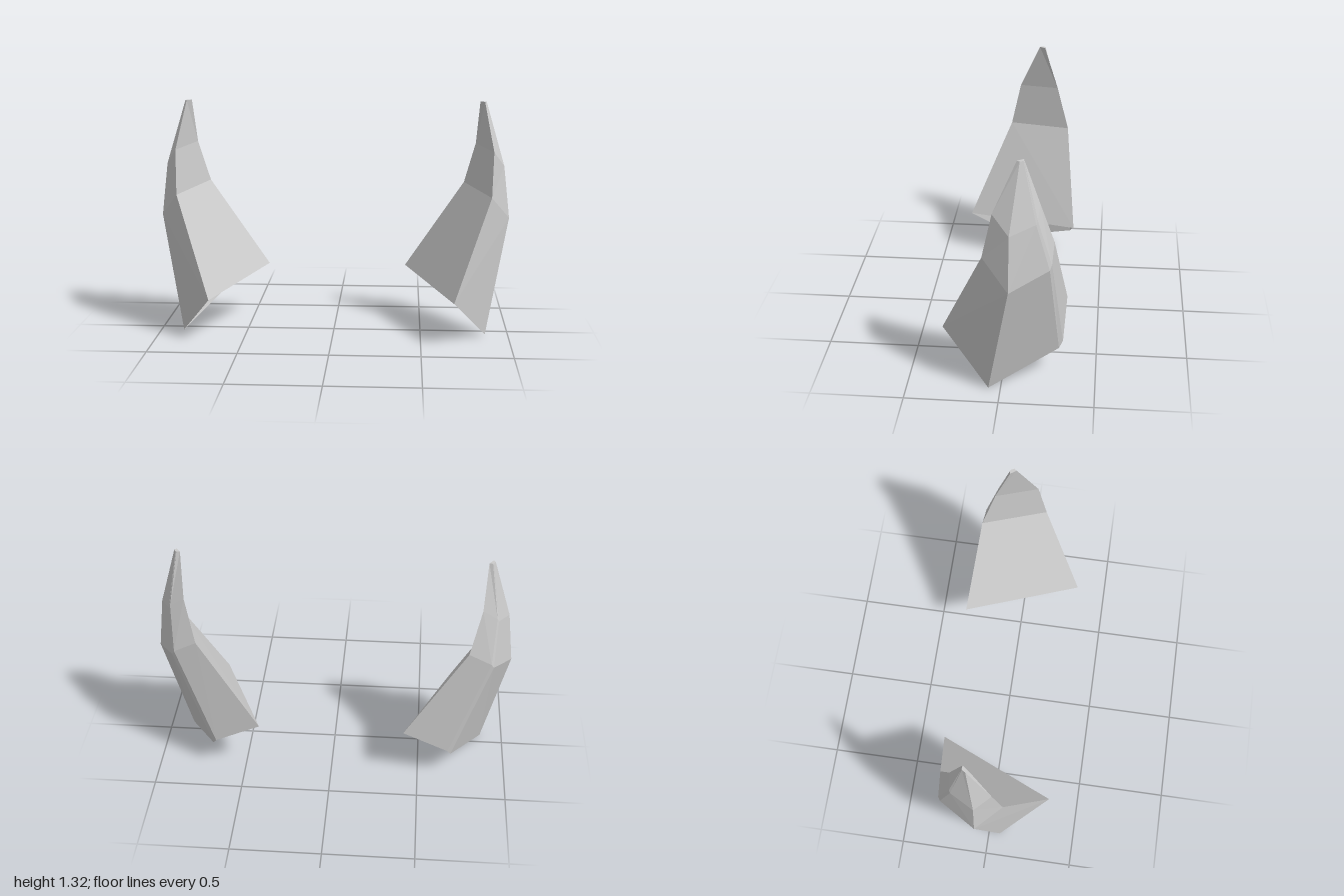
import * as THREE from 'three';

// Cross-sections of one horn, open base to tip; corners run
// inner, front, outer, back, back bevel
const RINGS = [
  [[0.41, 0.31, -0.33], [0.68, 0.25, 0.33], [0.87, 0, 0.065], [0.685, 0.15, -0.30], [0.665, 0.185, -0.32]],
  [[0.75, 0.83, -0.27], [0.89, 0.80, 0.09], [1.0, 0.66, -0.053], [0.89, 0.74, -0.255], [0.875, 0.765, -0.265]],
  [[0.81, 1.07, -0.20], [0.90, 1.05, 0.035], [0.965, 0.96, -0.055], [0.90, 1.0, -0.185], [0.89, 1.02, -0.192]],
  [[0.826, 1.32, -0.118], [0.85, 1.32, -0.085], [0.86, 1.32, -0.10], [0.85, 1.32, -0.118], [0.845, 1.32, -0.12]],
];

// Joins the rings with quads and closes the tip; side = -1 mirrors the horn
function hornGeometry(side) {
  const n = RINGS[0].length;
  const positions = RINGS.flat().flatMap(([x, y, z]) => [x * side, y, z]);
  const index = [];
  const tri = (a, b, c) => index.push(...(side > 0 ? [a, b, c] : [a, c, b]));
  for (let r = 0; r < RINGS.length - 1; r++) {
    for (let i = 0; i < n; i++) {
      const a = r * n + i, b = r * n + (i + 1) % n;
      tri(a, b, b + n);
      tri(a, b + n, a + n);
    }
  }
  const tip = (RINGS.length - 1) * n;
  for (let i = 1; i < n - 1; i++) tri(tip, tip + i, tip + i + 1);

  const indexed = new THREE.BufferGeometry();
  indexed.setAttribute('position', new THREE.Float32BufferAttribute(positions, 3));
  indexed.setIndex(index);
  const geometry = indexed.toNonIndexed(); // separate corners give flat facets
  geometry.computeVertexNormals();
  return geometry;
}

export function createModel() {
  const model = new THREE.Group();
  model.name = 'hornPair';
  // Double sided because the base is open and the inside shows
  const horn = new THREE.MeshStandardMaterial({
    color: 0xcccccc, flatShading: true, side: THREE.DoubleSide,
  });
  horn.name = 'horn grey';
  for (const [name, side] of [['leftHorn', 1], ['rightHorn', -1]]) {
    const mesh = new THREE.Mesh(hornGeometry(side), horn);
    mesh.name = name;
    model.add(mesh);
  }
  return model;
}
